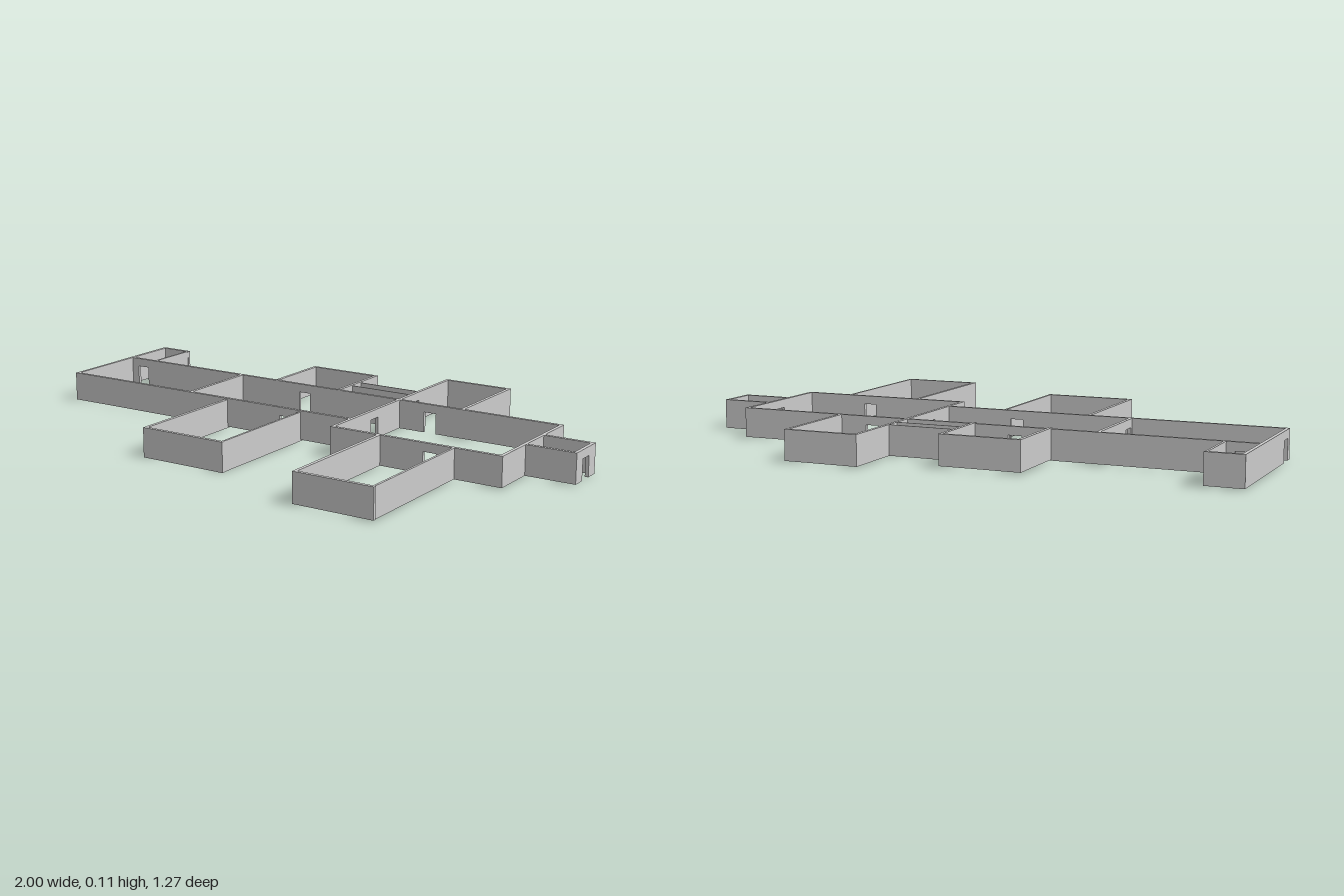
import * as THREE from 'three';

const H = 0.102;       // wall height
const T = 0.012;       // wall thickness
const DOOR_W = 0.047;
const DOOR_H = 0.072;

const material = new THREE.MeshStandardMaterial({ color: 0xcccccc, flatShading: true });

// Upright wall slab from a to b with door notches cut up from its foot.
// dir 'x': runs along x at z = at; dir 'z': runs along z at x = at.
function wall(dir, at, a, b, doors = [], t = T) {
  const s = new THREE.Shape();
  s.moveTo(a - T / 2, 0);
  for (const d of doors) {
    s.lineTo(d - DOOR_W / 2, 0);
    s.lineTo(d - DOOR_W / 2, DOOR_H);
    s.lineTo(d + DOOR_W / 2, DOOR_H);
    s.lineTo(d + DOOR_W / 2, 0);
  }
  s.lineTo(b + T / 2, 0);
  s.lineTo(b + T / 2, H);
  s.lineTo(a - T / 2, H);
  s.closePath();
  const geo = new THREE.ExtrudeGeometry(s, { depth: t, bevelEnabled: false });
  geo.translate(0, 0, -t / 2);
  if (dir === 'z') geo.rotateY(-Math.PI / 2).translate(at, 0, 0);
  else geo.translate(0, 0, at);
  const mesh = new THREE.Mesh(geo, material);
  mesh.name = 'wall';
  return mesh;
}

function room(name, y, walls) {
  const g = new THREE.Group();
  g.name = name;
  g.position.y = y;
  for (const w of walls) g.add(wall(...w));
  return g;
}

export function createModel() {
  const model = new THREE.Group();
  model.name = 'floorPlan';
  const Y = 0.005;

  model.add(
    // long hall split by a cross wall
    room('longHall', Y, [
      ['x', -0.285, -0.994, 0.204, [-0.935, -0.187]],
      ['x', 0.03, -0.994, 0.204, [-0.058]],
      ['z', -0.994, -0.285, 0.03, [-0.012]],
      ['z', -0.468, -0.285, 0.03, [-0.012]],
    ]),
    // wide hall
    room('wideHall', Y, [
      ['x', -0.285, 0.204, 0.82, [0.33]],
      ['x', 0.144, 0.204, 0.82, [0.57]],
      ['z', 0.204, -0.285, 0.144, [-0.111]],
      ['z', 0.82, -0.285, 0.144, [-0.079]],
    ]),
    // entrance lobby at the left end
    room('lobby', Y, [
      ['x', -0.144, 0.82, 0.994],
      ['x', -0.014, 0.82, 0.994],
      ['z', 0.994, -0.144, -0.014, [-0.079]],
    ]),
    // small closet at the right end
    room('closet', Y, [
      ['x', -0.487, -0.994, -0.88],
      ['z', -0.994, -0.487, -0.285],
      ['z', -0.88, -0.487, -0.285, [], 0.008],
    ]),
    // two back rooms joined by a narrow corridor
    room('backRightRoom', 0.008, [
      ['x', -0.531, -0.307, -0.041],
      ['z', -0.307, -0.531, -0.285],
      ['z', -0.041, -0.531, -0.285, [-0.391]],
    ]),
    room('backLeftRoom', Y, [
      ['x', -0.633, 0.204, 0.452],
      ['z', 0.204, -0.633, -0.285, [-0.391]],
      ['z', 0.452, -0.633, -0.285],
    ]),
    room('corridor', Y, [
      ['x', -0.42, -0.041, 0.204, [], 0.004],
      ['x', -0.364, -0.041, 0.204, [], 0.004],
    ]),
    // two front rooms
    room('frontRightRoom', 0, [
      ['x', 0.478, -0.307, 0.002],
      ['z', -0.307, 0.03, 0.478],
      ['z', 0.002, 0.03, 0.478, [], 0.008],
    ]),
    room('frontLeftRoom', Y, [
      ['x', 0.629, 0.383, 0.655],
      ['z', 0.383, 0.144, 0.629],
      ['z', 0.655, 0.144, 0.629, [], 0.008],
    ]),
  );
  return model;
}
